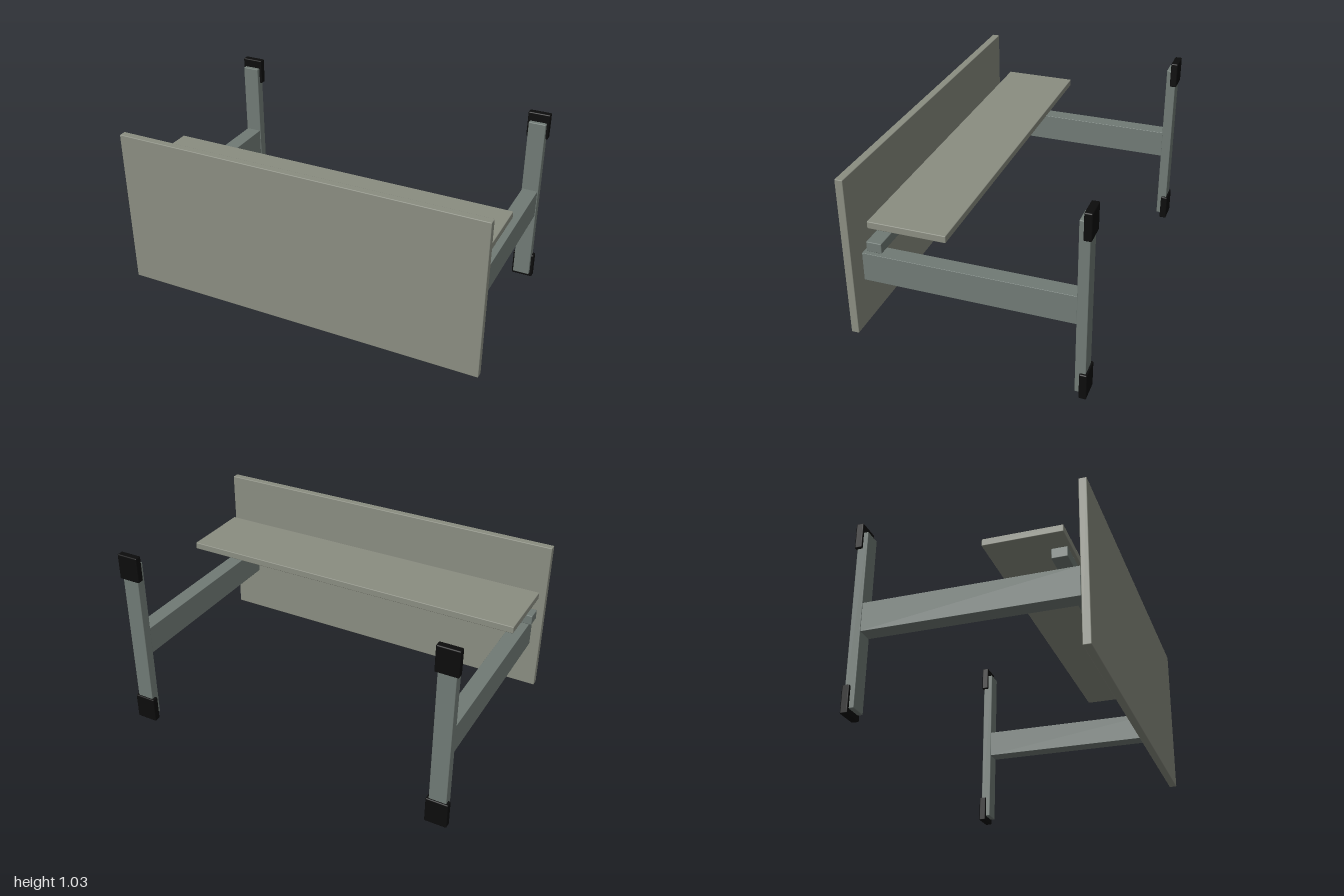
import * as THREE from 'three';
import { RoundedBoxGeometry } from 'three/addons/geometries/RoundedBoxGeometry.js';

const board = new THREE.MeshStandardMaterial({ color: 0x8a8d81 });
const steel = new THREE.MeshStandardMaterial({ color: 0x707a75 });
const rubber = new THREE.MeshStandardMaterial({ color: 0x0c0c0c });

// Box with softly eased edges, given by its [min, max] extents per axis
function slab(name, material, [x0, x1], [y0, y1], [z0, z1], radius = 0.004) {
  const geometry = new RoundedBoxGeometry(x1 - x0, y1 - y0, z1 - z0, 2, radius);
  const mesh = new THREE.Mesh(geometry, material);
  mesh.name = name;
  mesh.position.set((x0 + x1) / 2, (y0 + y1) / 2, (z0 + z1) / 2);
  return mesh;
}

// T-shaped leg: column, foot bar and two end caps, centred on x
function createLeg(name, x) {
  const span = (half) => [x - half, x + half];
  const leg = new THREE.Group();
  leg.name = name;
  leg.add(
    slab('column', steel, span(0.043), [0.424, 0.58], [-0.55, 0.548], 0.002),
    slab('footBar', steel, span(0.047), [0.027, 0.986], [-0.594, -0.54])
  );
  for (const [capName, y] of [['lowerFootCap', [0, 0.145]], ['upperFootCap', [0.892, 1.035]]]) {
    leg.add(slab(capName, rubber, span(0.06), y, [-0.603, -0.564], 0.006));
  }
  return leg;
}

export function createModel() {
  const desk = new THREE.Group();
  desk.name = 'desk';

  // Desk standing on edge, with its top facing forward
  desk.add(slab('deskTop', board, [-1, 1], [0.15, 1.02], [0.562, 0.603]));

  // Long panel and rail spanning the two legs
  desk.add(slab('modestyPanel', board, [-0.985, 0.955], [0.755, 0.793], [0.082, 0.483]));
  desk.add(slab('crossRail', steel, [-0.98, 0.95], [0.621, 0.675], [0.421, 0.5]));

  desk.add(createLeg('rightLeg', -0.906), createLeg('leftLeg', 0.874));
  return desk;
}
